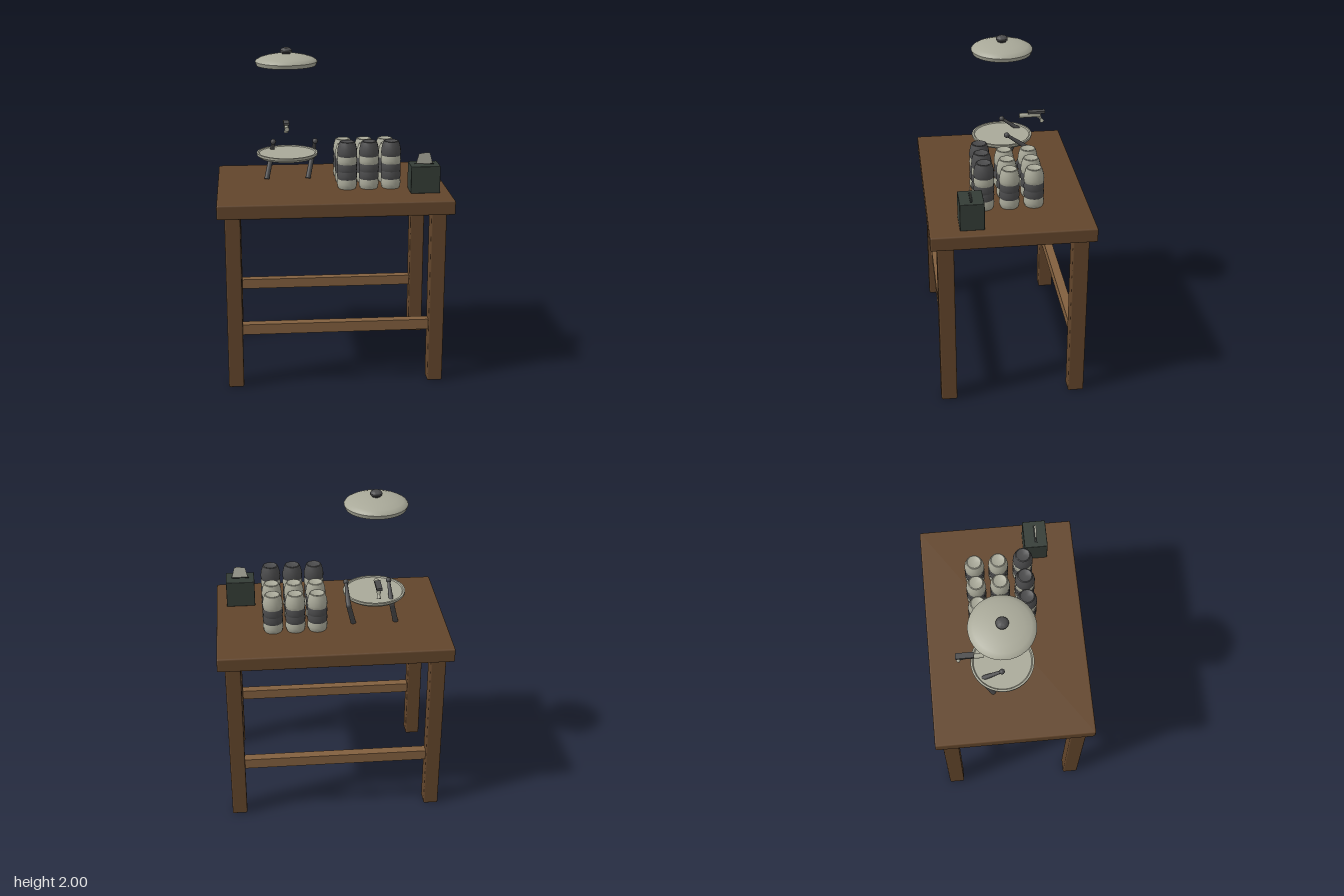
import * as THREE from 'three';
import { RoundedBoxGeometry } from 'three/addons/geometries/RoundedBoxGeometry.js';
import { toCreasedNormals } from 'three/addons/utils/BufferGeometryUtils.js';

const material = (name, color) => {
  const m = new THREE.MeshStandardMaterial({ color });
  m.name = name;
  return m;
};

export function createModel() {
  const model = new THREE.Group();
  model.name = 'teaTable';

  const wood = material('dark wood', 0x62452b);
  const lightWood = material('light wood', 0x815f3e);
  const cream = material('cream', 0xa9a999);
  const grey = material('dark grey', 0x4b4b4c);
  const green = material('dark green', 0x343c36);
  const black = material('slot black', 0x1c201e);
  const paper = material('paper', 0xb4b4a6);
  paper.side = THREE.DoubleSide;

  const add = (parent, name, geometry, mat, x = 0, y = 0, z = 0) => {
    const mesh = new THREE.Mesh(geometry, mat);
    mesh.name = name;
    mesh.position.set(x, y, z);
    parent.add(mesh);
    return mesh;
  };
  const group = (name, x = 0, y = 0, z = 0) => {
    const g = new THREE.Group();
    g.name = name;
    g.position.set(x, y, z);
    model.add(g);
    return g;
  };
  const lathe = (profile, sides) => toCreasedNormals(
    new THREE.LatheGeometry(profile.map(([r, y]) => new THREE.Vector2(r, y)), sides), 0.7);
  // Tapered round rod between two points
  const rod = (parent, name, a, b, ra, rb, mat) => {
    const from = new THREE.Vector3(...a), to = new THREE.Vector3(...b);
    const dir = to.clone().sub(from);
    const mesh = add(parent, name, new THREE.CylinderGeometry(rb, ra, dir.length(), 12), mat);
    mesh.position.copy(from).addScaledVector(dir, 0.5);
    mesh.quaternion.setFromUnitVectors(new THREE.Vector3(0, 1, 0), dir.normalize());
    return mesh;
  };

  // Table
  const table = group('table');
  const deck = 1.165;
  add(table, 'tableTop', new RoundedBoxGeometry(1.4, 0.087, 0.96, 2, 0.01), wood, 0, 1.1215, 0);
  for (const sz of [1, -1]) {
    for (const sx of [1, -1]) {
      add(table, 'tableLeg', new RoundedBoxGeometry(0.092, 1.085, 0.097, 2, 0.009), wood,
        sx * 0.61, 0.5425, sz * 0.392);
    }
    add(table, 'stretcher', new THREE.BoxGeometry(1.14, 0.064, 0.055), lightWood, 0, 0.367, sz * 0.392);
  }

  // Stacks of upside-down cups: the front row has one cup more
  const cup = lathe([[0, 0], [0.053, 0], [0.059, 0.014], [0.061, 0.032], [0.058, 0.06],
    [0.051, 0.086], [0.046, 0.099], [0.041, 0.101], [0.037, 0.098], [0, 0.098]], 16);
  const colours = [cream, grey, grey, cream, grey];
  for (const x of [0.09, 0.223, 0.358]) {
    for (const [z, count] of [[-0.155, 4], [-0.01, 4], [0.14, 5]]) {
      const stack = group('cupStack', x, deck, z);
      for (let i = 0; i < count; i++) add(stack, 'cup', cup, colours[i], 0, i * 0.0475, 0);
    }
  }

  // Napkin box with a slot and a sheet sticking out
  const box = group('napkinBox', 0.547, deck, 0.235);
  add(box, 'boxBody', new RoundedBoxGeometry(0.177, 0.166, 0.142, 2, 0.004), green, 0, 0.083, 0);
  add(box, 'slot', new THREE.BoxGeometry(0.115, 0.003, 0.018), black, 0, 0.1665, 0);
  const sheet = new THREE.Shape([[-0.05, 0], [0.052, 0], [0.034, 0.068], [0.012, 0.072], [-0.034, 0.064]]
    .map(([x, y]) => new THREE.Vector2(x, y)));
  add(box, 'napkin', new THREE.ShapeGeometry(sheet), paper, 0, 0.166, 0).rotation.x = 0.1;

  // Floating domed lid with a knob
  const lid = group('lid', -0.266, 1.895, -0.04);
  add(lid, 'dome', lathe([[0, 0], [0.18, 0], [0.189, 0.024], [0.182, 0.034], [0.16, 0.046],
    [0.12, 0.058], [0.07, 0.067], [0, 0.07]], 40), cream);
  add(lid, 'knob', lathe([[0, 0.06], [0.026, 0.06], [0.026, 0.072], [0.035, 0.08], [0.036, 0.09],
    [0.028, 0.101], [0.02, 0.105], [0, 0.105]], 20), grey);

  // Floating shallow dish
  add(model, 'dish', lathe([[0, 0], [0.13, 0], [0.172, 0.011], [0.188, 0.026], [0.189, 0.04],
    [0.178, 0.041], [0.172, 0.035], [0, 0.035]], 40), cream, -0.266, 1.315, -0.04);

  // Pair of bent arms beside the dish
  for (const [name, x] of [['rightArm', -0.352], ['leftArm', -0.092]]) {
    const arm = group(name, x, 0, 0);
    const foot = [-0.042, deck, -0.105], elbow = [-0.004, 1.325, -0.18], tip = [0, 1.418, -0.05];
    rod(arm, 'lowerArm', foot, elbow, 0.016, 0.015, grey);
    add(arm, 'elbow', new THREE.SphereGeometry(0.017, 12, 8), grey, ...elbow);
    rod(arm, 'upperArm', elbow, tip, 0.016, 0.009, grey);
    add(arm, 'tip', new THREE.SphereGeometry(0.017, 12, 8), grey, ...tip);
  }

  // Floating tap: pipe, lever and small nozzle
  const tap = group('tap', -0.262, 0, 0);
  rod(tap, 'pipe', [0, 1.471, -0.285], [0, 1.471, -0.15], 0.013, 0.015, cream);
  add(tap, 'lever', new THREE.BoxGeometry(0.035, 0.015, 0.108), grey, 0, 1.492, -0.259);
  rod(tap, 'neck', [0, 1.462, -0.276], [0, 1.443, -0.288], 0.015, 0.007, cream);
  rod(tap, 'nozzle', [0, 1.446, -0.286], [0, 1.425, -0.298], 0.007, 0.014, cream);

  return model;
}
